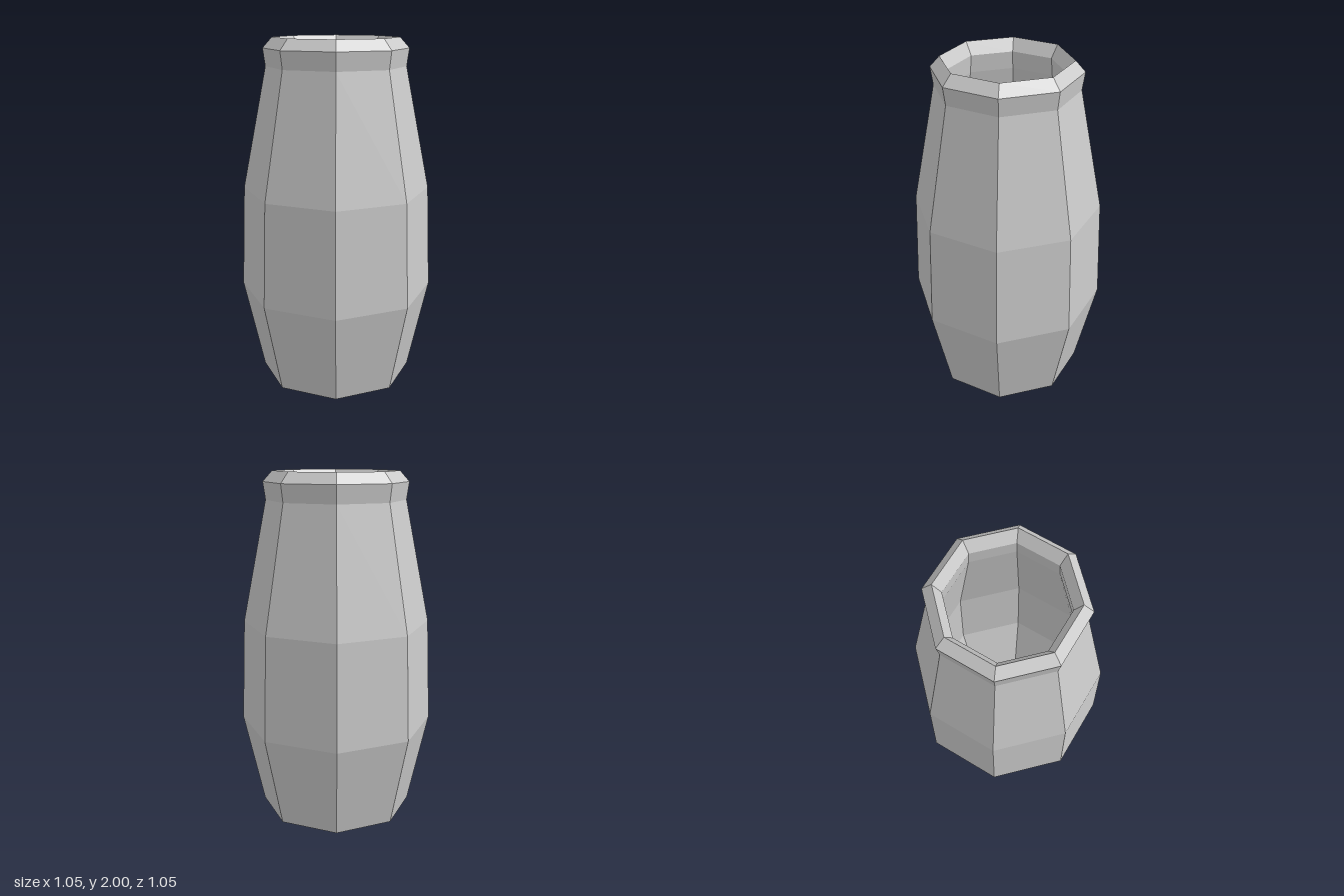
import * as THREE from 'three';

const SIDES = 8;
const TURN = THREE.MathUtils.degToRad(21.5); // slight twist of the octagon

export function createModel() {
  const model = new THREE.Group();
  model.name = 'vase';

  const clay = new THREE.MeshStandardMaterial({ color: 0xcccccc, flatShading: true });
  clay.name = 'pale grey clay';

  // Eight-sided faceted surface turned from [radius, height] pairs
  const turned = (name, profile) => {
    const points = profile.map(([r, y]) => new THREE.Vector2(r, y));
    const geometry = new THREE.LatheGeometry(points, SIDES, TURN);
    const mesh = new THREE.Mesh(geometry, clay);
    mesh.name = name;
    model.add(mesh);
  };

  // Recessed underside and sloping foot
  turned('foot', [[0, 0.08], [0.39, 0.08], [0.446, 0]]);

  // Bulging body up to the neck
  turned('body', [[0.446, 0], [0.565, 0.54], [0.54, 1.14], [0.398, 1.84]]);

  // Flared lip, bevelled outside and inside
  turned('lip', [[0.398, 1.84], [0.412, 1.94], [0.358, 2], [0.315, 1.93]]);

  // Hollow inside following the body, down to the floor
  turned('innerWall', [[0.315, 1.93], [0.325, 1.83], [0.47, 1.13], [0.495, 0.56], [0.39, 0.09]]);
  turned('floor', [[0.39, 0.09], [0, 0.09]]);

  return model;
}
